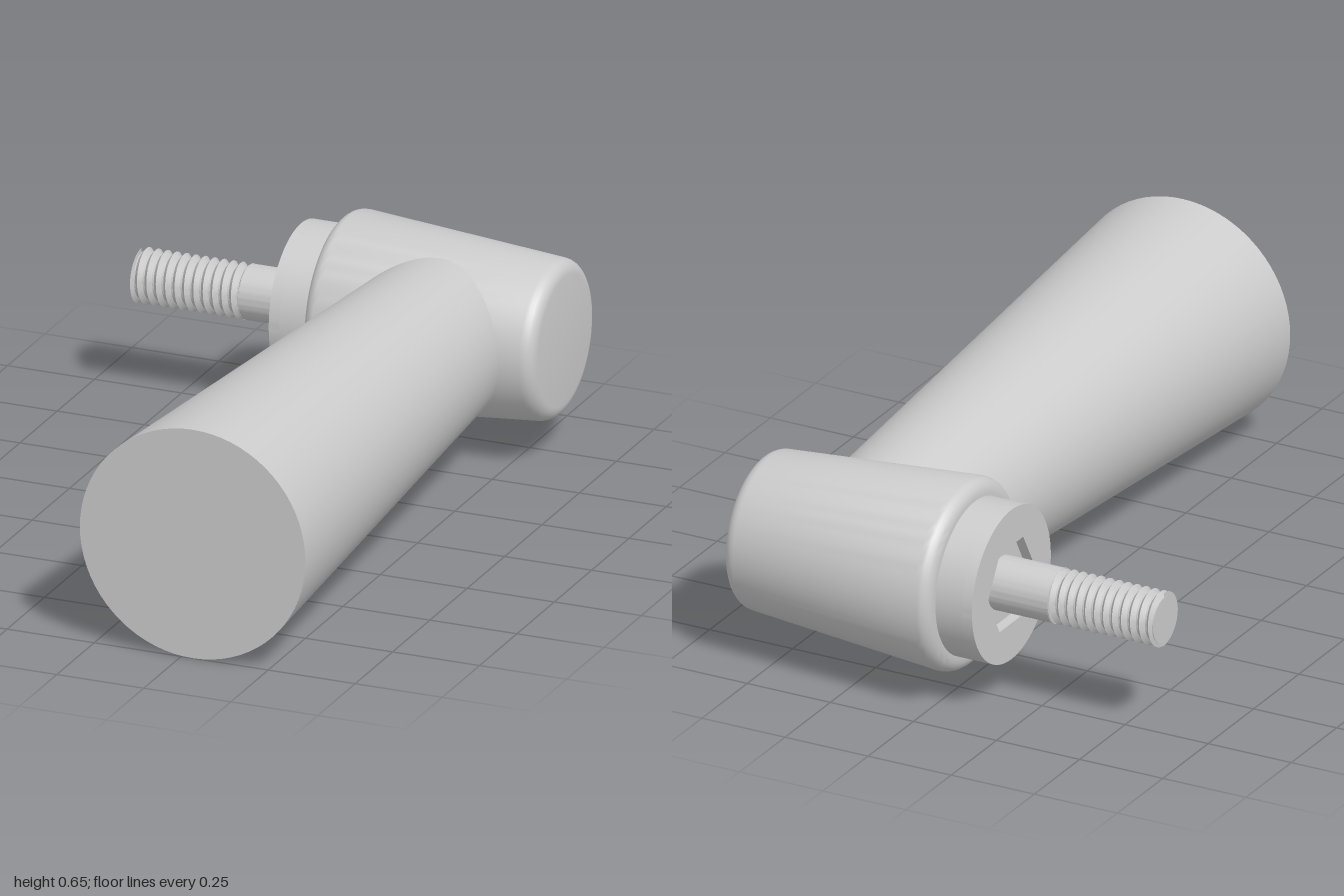
import * as THREE from 'three';
import { toCreasedNormals } from 'three/addons/utils/BufferGeometryUtils.js';

const AXIS_Y = 0.325, AXIS_Z = -0.735; // screw and hub axis, running along x
const HANDLE_X = 0.283;
const material = new THREE.MeshStandardMaterial({ color: 0xcccccc });

function addPart(group, name, geometry, x, y, z) {
  const mesh = new THREE.Mesh(geometry, material);
  mesh.name = name;
  mesh.position.set(x, y, z);
  group.add(mesh);
}

// Solid of revolution around x; profile points are [radius, x]
function turned(points) {
  const profile = points.map(([r, x]) => new THREE.Vector2(r, x));
  return toCreasedNormals(new THREE.LatheGeometry(profile, 72).rotateZ(-Math.PI / 2), 0.5);
}

// Points of a rounded corner on a turned profile
function corner(r, x, radius, from, to, steps = 6) {
  return Array.from({ length: steps + 1 }, (_, i) => {
    const a = from + (to - from) * i / steps;
    return [r + radius * Math.cos(a), x + radius * Math.sin(a)];
  });
}

// Collar rim with a hexagonal socket, facing -x
function socketRim(radius, hexRadius, depth) {
  const shape = new THREE.Shape().absarc(0, 0, radius, 0, Math.PI * 2);
  const hex = Array.from({ length: 6 }, (_, i) => new THREE.Vector2(
    hexRadius * Math.cos(i * Math.PI / 3), hexRadius * Math.sin(i * Math.PI / 3)));
  shape.holes.push(new THREE.Path(hex));
  const rim = new THREE.ExtrudeGeometry(shape, { depth, bevelEnabled: false, curveSegments: 72 });
  return toCreasedNormals(rim.rotateY(-Math.PI / 2), 0.5);
}

// Helical V thread along x, cut off square at both ends
function thread(x0, x1, root, crest, pitch, sides = 40) {
  const rows = 2 * Math.ceil((x1 - x0) / pitch) + 4;
  const positions = [], index = [];
  for (let i = 0; i <= rows; i++) {
    for (let j = 0; j <= sides; j++) {
      const a = j / sides * Math.PI * 2;
      const r = i % 2 ? crest : root;
      const x = THREE.MathUtils.clamp(x0 + (i / 2 - 1 + j / sides) * pitch, x0, x1);
      positions.push(x, r * Math.cos(a), r * Math.sin(a));
      if (i < rows && j < sides) {
        const p = i * (sides + 1) + j, q = p + sides + 1;
        index.push(p, p + 1, q, p + 1, q + 1, q);
      }
    }
  }
  const geometry = new THREE.BufferGeometry();
  geometry.setAttribute('position', new THREE.Float32BufferAttribute(positions, 3));
  geometry.setIndex(index);
  return toCreasedNormals(geometry, 0.5);
}

export function createModel() {
  const group = new THREE.Group();
  group.name = 'crankHandle';

  // Tapered grip, running from inside the hub to the front
  const grip = new THREE.CylinderGeometry(0.324, 0.215, 1 - AXIS_Z, 72).rotateX(Math.PI / 2);
  addPart(group, 'grip', grip, HANDLE_X, AXIS_Y, (1 + AXIS_Z) / 2);

  // Tapered hub with rounded rims
  const hub = turned([
    [0, -0.04],
    ...corner(0.225, 0, 0.04, -Math.PI / 2, 0.08),
    ...corner(0.179, 0.566, 0.04, 0.08, Math.PI / 2),
    [0, 0.606],
  ]);
  addPart(group, 'hub', hub, 0, AXIS_Y, AXIS_Z);

  // Collar with its hexagonal socket
  addPart(group, 'collarRim', socketRim(0.217, 0.13, 0.03), -0.12, AXIS_Y, AXIS_Z);
  addPart(group, 'collar', turned([[0, -0.12], [0.217, -0.12], [0.217, 0], [0, 0]]), 0, AXIS_Y, AXIS_Z);

  // Screw: plain shank, core and thread
  addPart(group, 'shank', turned([[0, -0.3], [0.075, -0.3], [0.075, -0.1], [0, -0.1]]), 0, AXIS_Y, AXIS_Z);
  addPart(group, 'screwCore', turned([[0, -0.61], [0.063, -0.61], [0.063, -0.29], [0, -0.29]]), 0, AXIS_Y, AXIS_Z);
  addPart(group, 'screwThread', thread(-0.609, -0.298, 0.06, 0.076, 0.027), 0, AXIS_Y, AXIS_Z);

  return group;
}
